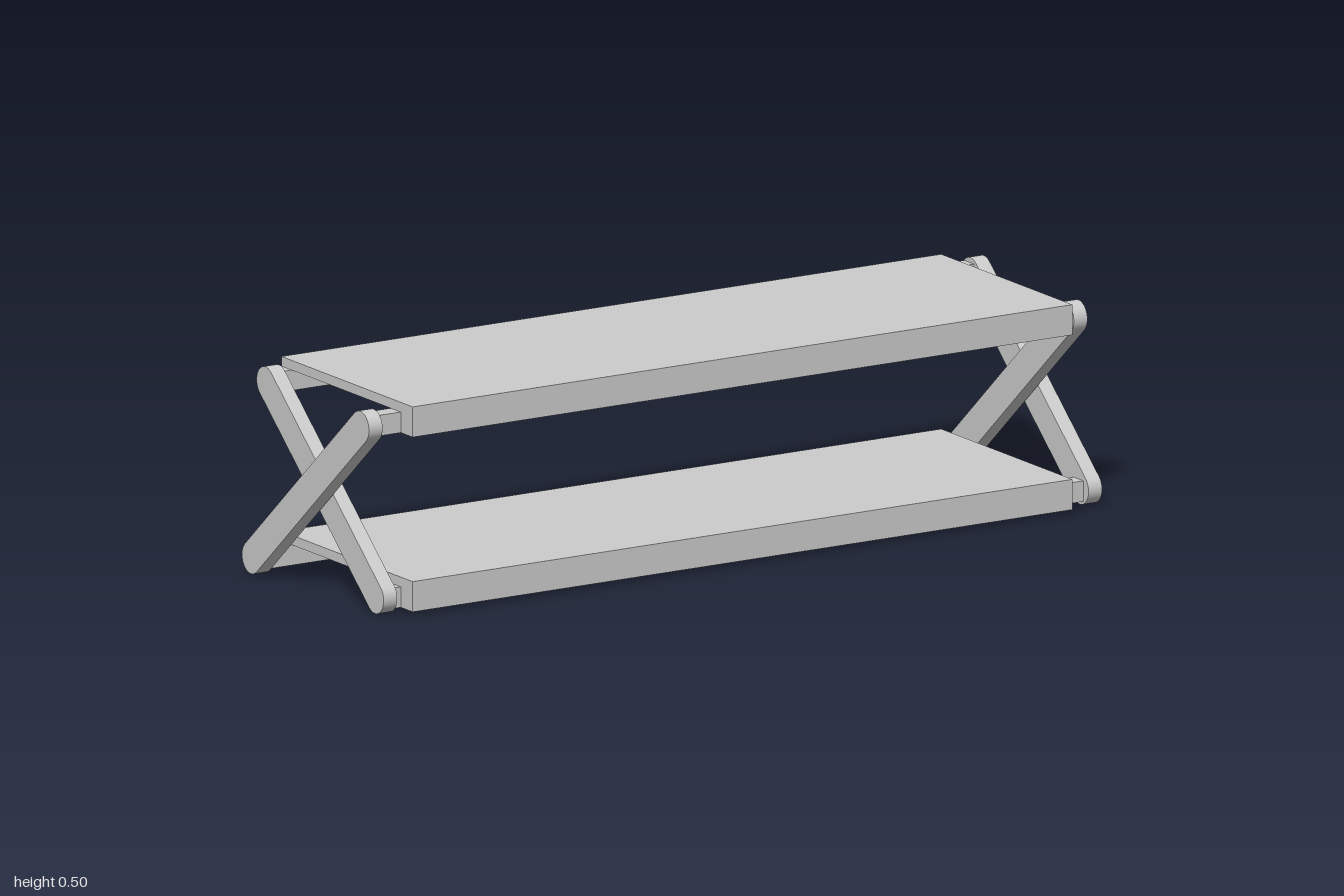
import * as THREE from 'three';

const material = new THREE.MeshStandardMaterial({ color: 0xcccccc });

// Box given by its min and max corners
function box(name, [x0, y0, z0], [x1, y1, z1]) {
  const mesh = new THREE.Mesh(new THREE.BoxGeometry(x1 - x0, y1 - y0, z1 - z0), material);
  mesh.name = name;
  mesh.position.set((x0 + x1) / 2, (y0 + y1) / 2, (z0 + z1) / 2);
  return mesh;
}

const LEG_RADIUS = 0.038;
const LEG_THICKNESS = 0.037;
const FRONT_Z = 0.22, BACK_Z = -0.25, LOW_Y = 0.038, HIGH_Y = 0.448;

// Flat bar with round ends, leaning in the y-z plane; rising = low at the front
function leg(name, x, rising) {
  const dz = BACK_Z - FRONT_Z, dy = HIGH_Y - LOW_Y;
  const half = Math.hypot(dz, dy) / 2;
  const shape = new THREE.Shape();
  shape.absarc(half, 0, LEG_RADIUS, -Math.PI / 2, Math.PI / 2, false);
  shape.absarc(-half, 0, LEG_RADIUS, Math.PI / 2, Math.PI * 1.5, false);
  const geometry = new THREE.ExtrudeGeometry(shape, { depth: LEG_THICKNESS, bevelEnabled: false, curveSegments: 20 });
  geometry.translate(0, 0, -LEG_THICKNESS / 2);
  geometry.rotateZ((rising ? 1 : -1) * Math.atan2(dy, -dz));
  geometry.rotateY(Math.PI / 2); // shape x becomes -z, depth becomes x
  const mesh = new THREE.Mesh(geometry, material);
  mesh.name = name;
  mesh.position.set(x, (LOW_Y + HIGH_Y) / 2, (FRONT_Z + BACK_Z) / 2);
  return mesh;
}

// Plank, front board and the two rails that reach the legs
function shelf(name, bottom, frontReachesRight) {
  const group = new THREE.Group();
  group.name = name;
  const under = bottom + 0.049, top = bottom + 0.072;
  group.add(box('plank', [-0.9, under, -0.276], [0.9, top, 0.288]));
  group.add(box('frontBoard', [-0.9, bottom, 0.237], [0.9, under, 0.288]));
  // each rail meets an inner leg at one end and an outer leg at the other
  const near = 0.923, far = 0.963;
  const span = (toRight) => (toRight ? [-far, near] : [-near, far]);
  const [f0, f1] = span(frontReachesRight);
  const [b0, b1] = span(!frontReachesRight);
  group.add(box('frontRail', [f0, bottom, 0.194], [f1, under, 0.237]));
  group.add(box('backRail', [b0, bottom, -0.276], [b1, under, -0.233]));
  return group;
}

export function createModel() {
  const model = new THREE.Group();
  model.name = 'foldingShelf';

  model.add(shelf('lowerShelf', 0.01, false));
  model.add(shelf('upperShelf', 0.425, true));

  // Crossed legs, outer and inner swapped from one end to the other
  for (const side of [1, -1]) {
    const end = new THREE.Group();
    end.name = side > 0 ? 'leftLegs' : 'rightLegs';
    end.add(leg('outerLeg', side * 0.9815, side > 0));
    end.add(leg('innerLeg', side * 0.9415, side < 0));
    // pivot joining the pair
    const pivot = new THREE.Mesh(new THREE.CylinderGeometry(0.01, 0.01, 0.03, 16), material);
    pivot.name = 'pivot';
    pivot.rotation.z = Math.PI / 2;
    pivot.position.set(side * 0.9615, (LOW_Y + HIGH_Y) / 2, (FRONT_Z + BACK_Z) / 2);
    end.add(pivot);
    model.add(end);
  }
  return model;
}
